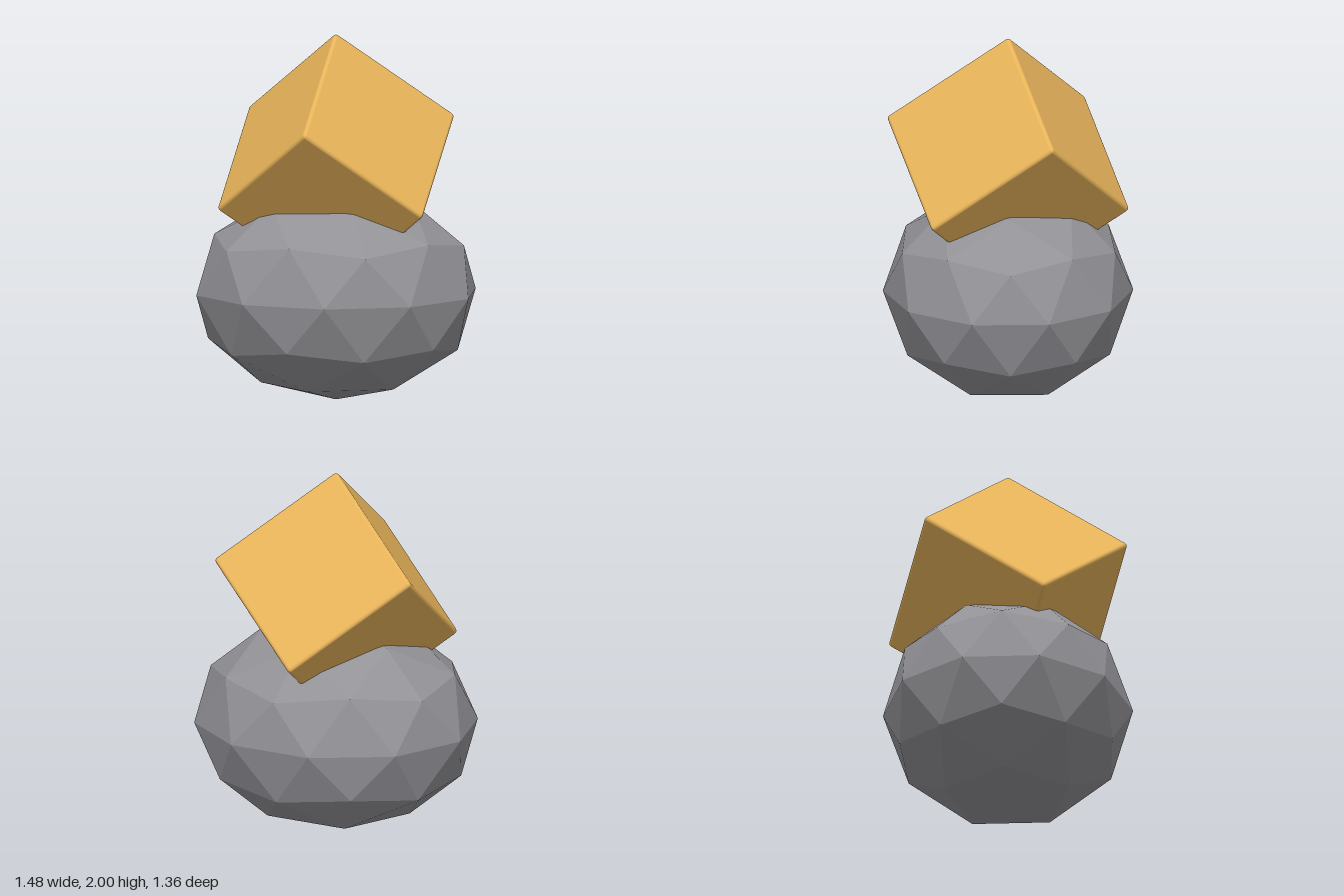
import * as THREE from 'three';
import { RoundedBoxGeometry } from 'three/addons/geometries/RoundedBoxGeometry.js';

// Low-poly boulder: faceted icosphere with a vertex at each pole, stretched per axis
function makeBoulder() {
  const geometry = new THREE.IcosahedronGeometry(1, 1);
  geometry.rotateZ(-Math.atan(2 / (1 + Math.sqrt(5))));
  geometry.scale(0.78, 0.59, 0.68);
  geometry.computeVertexNormals();
  const boulder = new THREE.Mesh(
    geometry,
    new THREE.MeshStandardMaterial({ color: 0x929297, flatShading: true })
  );
  boulder.name = 'boulder';
  boulder.position.y = 0.59;
  return boulder;
}

// Cube with softened edges, balanced on one corner and sunk into the boulder
function makeCube() {
  const cube = new THREE.Mesh(
    new RoundedBoxGeometry(0.823, 0.823, 0.823, 2, 0.02),
    new THREE.MeshStandardMaterial({ color: 0xe8b45a })
  );
  cube.name = 'cube';
  // Three cube axes spread evenly around the vertical diagonal
  const axes = [-20.3, -140.3, 99.7].map((degrees) => {
    const a = THREE.MathUtils.degToRad(degrees);
    const h = Math.sqrt(2 / 3);
    return new THREE.Vector3(-h * Math.cos(a), Math.sqrt(1 / 3), -h * Math.sin(a));
  });
  cube.quaternion.setFromRotationMatrix(new THREE.Matrix4().makeBasis(...axes));
  cube.position.y = 1.302;
  return cube;
}

export function createModel() {
  const model = new THREE.Group();
  model.name = 'cubeOnBoulder';
  model.add(makeBoulder(), makeCube());
  return model;
}
